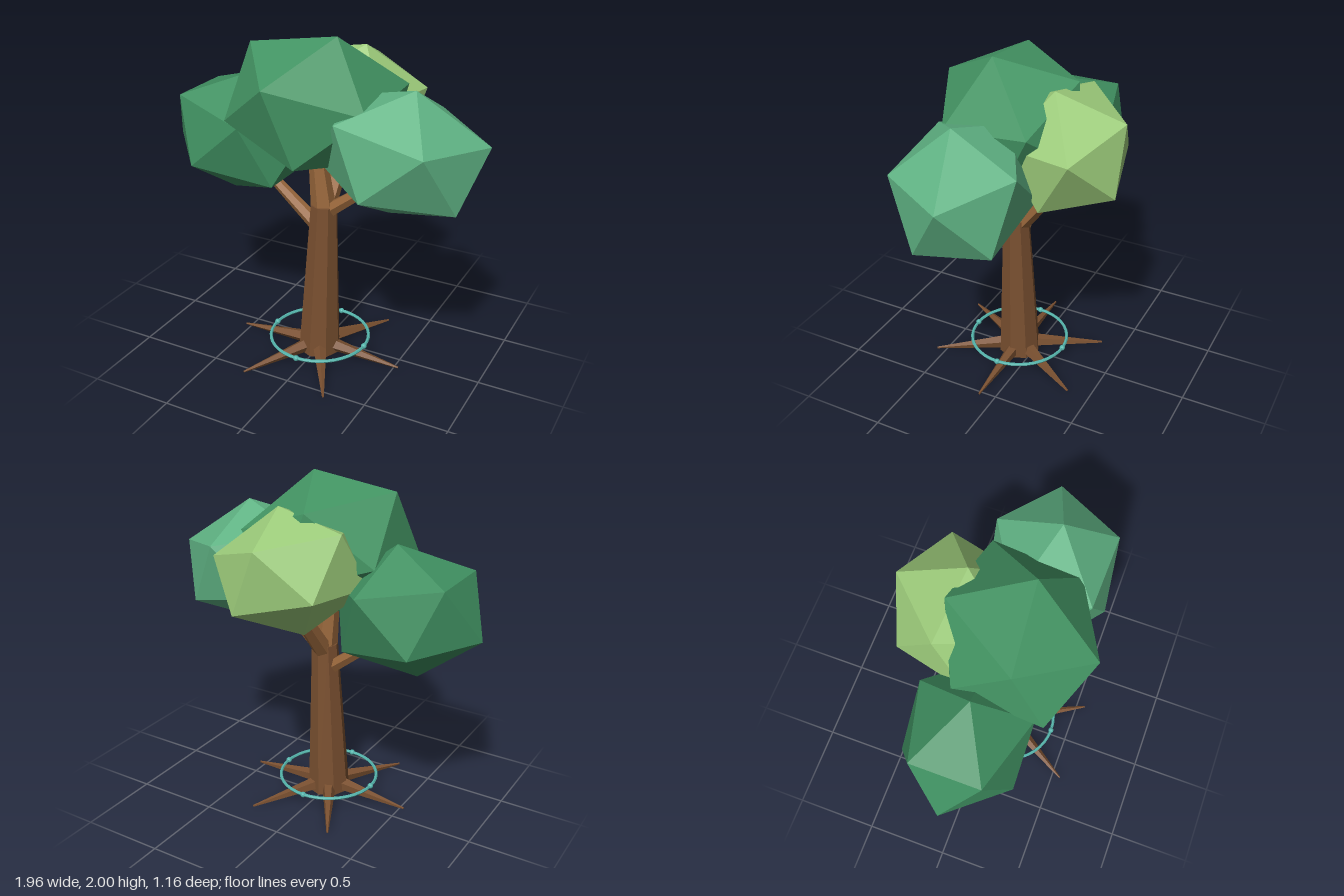
import * as THREE from 'three';

const PHI = (1 + Math.sqrt(5)) / 2;
const v = (p) => new THREE.Vector3(...p);
const mat = (color) => new THREE.MeshStandardMaterial({ color, flatShading: true });

const BARK = mat(0x7a5030);
const BRANCH = mat(0x9a683c);
const TEAL = mat(0x55b5ac);
const Z = 0.095; // trunk axis in depth

function add(parent, name, geometry, material) {
  const mesh = new THREE.Mesh(geometry, material);
  mesh.name = name;
  parent.add(mesh);
  return mesh;
}

// Tapered faceted limb running from one point to another
function limb(parent, name, from, to, r0, r1, sides, material) {
  const a = v(from), b = v(to), dir = b.clone().sub(a);
  const mesh = add(parent, name, new THREE.CylinderGeometry(r1, r0, dir.length(), sides), material);
  mesh.position.copy(a).add(b).multiplyScalar(0.5);
  mesh.quaternion.setFromUnitVectors(new THREE.Vector3(0, 1, 0), dir.normalize());
  return mesh;
}

// Stretched icosahedron, placed by its centre and the three corners
// (relative to the centre, counterclockwise from outside) of one face
function foliage(parent, name, centre, [a, b, c], color) {
  const columns = (p, q, r) => new THREE.Matrix4().makeBasis(v(p), v(q), v(r));
  const unit = columns([0, 1, PHI], [0, -1, PHI], [PHI, 0, 1]);
  const map = columns(a, b, c).multiply(unit.invert());
  const geometry = new THREE.IcosahedronGeometry(Math.hypot(1, PHI), 0);
  geometry.applyMatrix4(map);
  geometry.computeVertexNormals();
  add(parent, name, geometry, mat(color)).position.set(...centre);
}

export function createModel() {
  const tree = new THREE.Group();
  tree.name = 'tree';

  // Trunk, leaning slightly toward +x
  limb(tree, 'trunk', [0, 0.005, Z], [0.033, 0.985, Z], 0.13, 0.08, 8, BARK);

  // Branches
  const branches = new THREE.Group();
  branches.name = 'branches';
  tree.add(branches);
  limb(branches, 'topBranch', [0.032, 0.95, Z], [-0.01, 1.36, 0.11], 0.075, 0.045, 6, BRANCH);
  limb(branches, 'rightBranch', [0.0, 0.83, Z], [-0.45, 1.17, 0.06], 0.045, 0.025, 6, BRANCH);
  limb(branches, 'leftBranch', [0.05, 0.94, Z], [0.45, 1.25, 0.12], 0.045, 0.028, 6, BRANCH);
  limb(branches, 'backBranch', [0.03, 0.95, 0.07], [0.04, 1.32, -0.22], 0.06, 0.045, 6, BRANCH);

  // Six roots spreading over the ground
  const roots = new THREE.Group();
  roots.name = 'roots';
  tree.add(roots);
  for (let i = 0; i < 6; i++) {
    const t = (i * Math.PI) / 3, x = Math.cos(t), z = Math.sin(t);
    limb(roots, 'root', [0.06 * x, 0.05, Z + 0.06 * z], [0.53 * x, 0.012, Z + 0.53 * z], 0.045, 0.006, 5, BARK);
  }

  // Ring with four beads around the foot of the trunk
  const ring = new THREE.Group();
  ring.name = 'groundRing';
  ring.position.set(0.003, 0.095, Z);
  tree.add(ring);
  add(ring, 'ring', new THREE.TorusGeometry(0.3, 0.01, 6, 40), TEAL).rotation.x = Math.PI / 2;
  for (let i = 0; i < 4; i++) {
    const t = (i * Math.PI) / 2;
    add(ring, 'bead', new THREE.IcosahedronGeometry(0.018, 1), TEAL)
      .position.set(0.3 * Math.cos(t), 0, 0.3 * Math.sin(t));
  }

  // Four overlapping leaf masses
  foliage(tree, 'mainFoliage', [0.005, 1.605, 0.12],
    [[-0.082, 0.182, 0.46], [0.145, 0.395, 0.046], [-0.362, 0.32, 0.09]], 0x439463);
  foliage(tree, 'rightFoliage', [-0.535, 1.319, 0.033],
    [[-0.3, 0.234, 0.2], [-0.3, 0.234, -0.2], [-0.445, -0.084, 0]], 0x3f8f60);
  foliage(tree, 'leftFoliage', [0.528, 1.402, 0.14],
    [[0.24, 0.114, 0.31], [-0.262, 0.214, 0.305], [-0.087, -0.167, 0.36]], 0x5fb283);
  foliage(tree, 'backFoliage', [0.05, 1.523, -0.23],
    [[0.01, 0.2, -0.347], [0.39, 0.077, -0.185], [0.15, -0.176, -0.355]], 0x9ccb7a);

  return tree;
}
